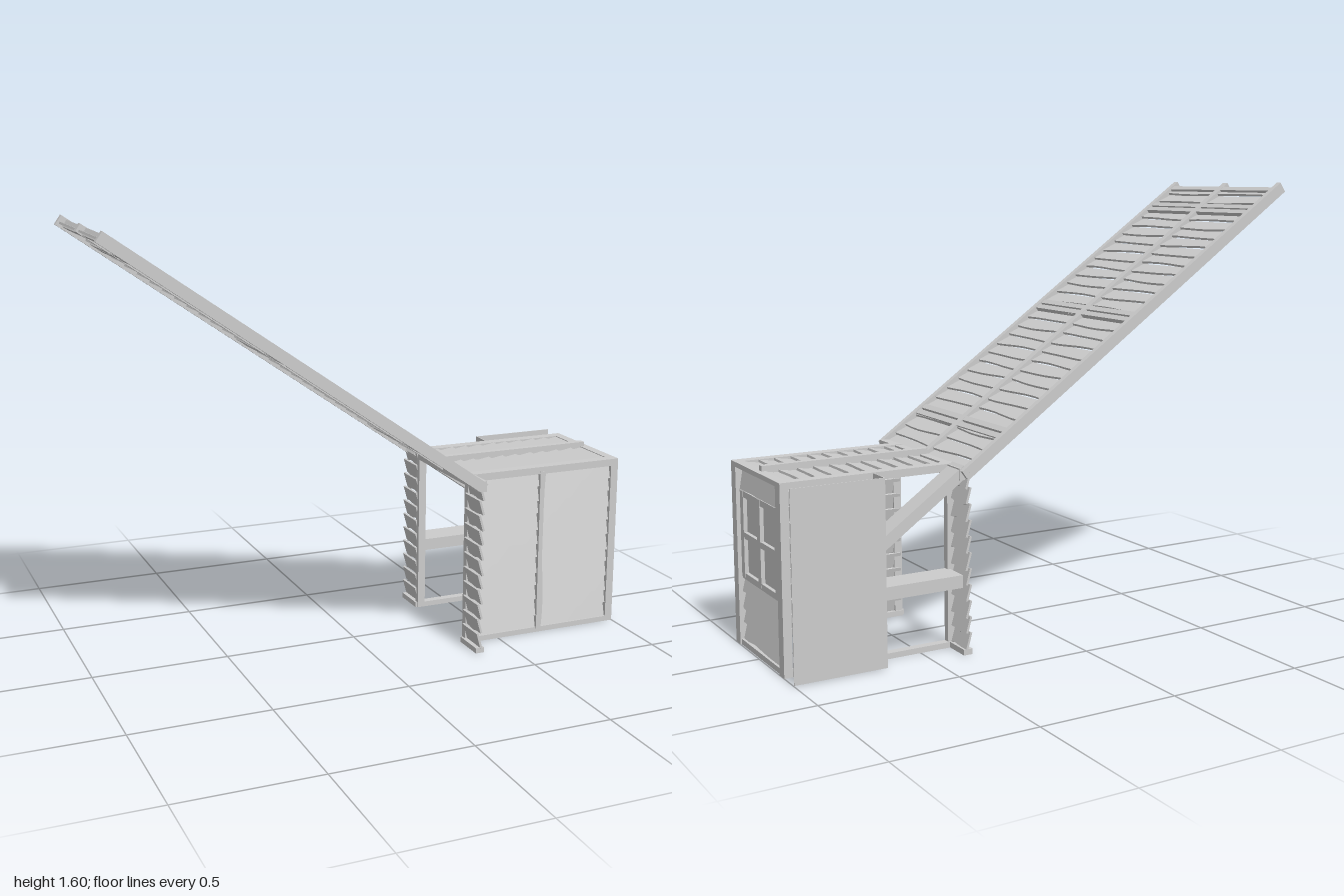
import * as THREE from 'three';

const mat = new THREE.MeshStandardMaterial({ color: 0xcccccc, flatShading: true, side: THREE.DoubleSide });

function box(parent, name, [x0, x1], [y0, y1], [z0, z1]) {
  const m = new THREE.Mesh(new THREE.BoxGeometry(x1 - x0, y1 - y0, z1 - z0), mat);
  m.position.set((x0 + x1) / 2, (y0 + y1) / 2, (z0 + z1) / 2);
  m.name = name;
  parent.add(m);
  return m;
}

// One rough-cut board along x, its long edges bent by a slow wave
function board(len, h, t, seed, wave) {
  const g = new THREE.BoxGeometry(len, h, t, 10, 1, 1);
  const p = g.attributes.position;
  for (let i = 0; i < p.count; i++) {
    const u = p.getX(i) / len;
    const bend = Math.sin(u * 7 + seed * 2.3) * wave + Math.sin(u * 13 + seed * 5.1) * wave * 0.4;
    if (p.getY(i) < 0) p.setY(i, p.getY(i) + bend);
  }
  g.computeVertexNormals();
  return new THREE.Mesh(g, mat);
}

// Overlapping boards filling w x h in the local XY plane, facing +z
function siding(name, w, h, rows, lap, wave = 0.005) {
  const g = new THREE.Group();
  g.name = name;
  const step = h / rows;
  for (let i = 0; i < rows; i++) {
    const b = board(w, step * 1.08, 0.008, i + 1, wave);
    b.position.y = -h / 2 + step * (i + 0.5);
    b.rotation.x = -Math.atan2(lap, step);
    b.name = 'board';
    g.add(b);
  }
  return g;
}

// Place a group using its local up direction and facing direction
function orient(g, up, face, pos) {
  const y = new THREE.Vector3(...up).normalize();
  const z = new THREE.Vector3(...face).normalize();
  const x = new THREE.Vector3().crossVectors(y, z);
  g.quaternion.setFromRotationMatrix(new THREE.Matrix4().makeBasis(x, y, z));
  g.position.set(...pos);
  return g;
}

function buildHut() {
  const hut = new THREE.Group();
  hut.name = 'hut';

  // Corner posts and rails
  for (const z of [[0.18, 0.22], [-0.225, -0.185]]) {
    box(hut, 'cornerPost', [0.97, 1], [0, 0.65], z);
    box(hut, 'topRail', [0.36, 1], [0.625, 0.652], z);
  }
  box(hut, 'frontSill', [0.36, 1], [0, 0.02], [0.19, 0.22]);
  box(hut, 'backSill', [0.36, 1], [0, 0.02], [-0.225, -0.195]);
  box(hut, 'endSill', [0.965, 0.995], [0, 0.02], [-0.2, 0.2]);
  box(hut, 'endTopRail', [0.965, 1], [0.635, 0.652], [-0.2, 0.2]);

  // Front wall with a slightly crooked middle post
  hut.add(orient(siding('frontWall', 0.62, 0.62, 11, 0.014), [0, 1, 0], [0, 0, 1], [0.675, 0.325, 0.203]));
  const mid = board(0.62, 0.02, 0.02, 3, 0.004);
  mid.name = 'frontMiddlePost';
  mid.rotation.z = Math.PI / 2;
  mid.position.set(0.672, 0.325, 0.212);
  hut.add(mid);

  // End wall: boards above and below the window
  hut.add(orient(siding('endWallLower', 0.37, 0.23, 4, 0.014), [0, 1, 0], [1, 0, 0], [0.975, 0.135, 0]));
  hut.add(orient(siding('endWallUpper', 0.37, 0.08, 1, 0.014), [0, 1, 0], [1, 0, 0], [0.975, 0.595, 0]));
  for (const s of [-1, 1]) box(hut, 'endWallSide', [0.967, 0.977], [0.24, 0.57], [s * 0.175 - 0.015, s * 0.175 + 0.015]);

  // Window with four panes
  const win = new THREE.Group();
  win.name = 'window';
  hut.add(win);
  for (const z of [-0.155, 0, 0.155]) box(win, 'windowUpright', [0.965, 0.99], [0.25, 0.555], [z - 0.014, z + 0.014]);
  for (const y of [0.255, 0.4, 0.545]) box(win, 'windowBar', [0.966, 0.989], [y - 0.011, y + 0.011], [-0.165, 0.165]);
  box(win, 'windowPane', [0.972, 0.976], [0.26, 0.54], [-0.15, 0.15]);

  // Flat roof: frame, boards and centre strip
  hut.add(orient(siding('roofBoards', 0.38, 0.6, 10, 0.01, 0.003), [-1, 0, 0], [0, 1, 0], [0.675, 0.642, 0]));
  box(hut, 'roofCentreStrip', [0.36, 0.98], [0.645, 0.67], [-0.02, 0.005]);
  return hut;
}

// Doorway end: narrow boarded strips either side of the opening
function buildDoorway() {
  const door = new THREE.Group();
  door.name = 'doorway';
  for (const s of [-1, 1]) {
    const span = (a, b) => (s > 0 ? [a, b] : [-b, -a]);
    door.add(orient(siding('doorwayBoards', 0.115, 0.62, 11, 0.016, 0.003), [0, 1, 0], [1, 0, 0], [0.365, 0.33, s * 0.268]));
    box(door, 'doorwayPost', [0.36, 0.39], [0, 0.64], span(0.195, 0.22));
    box(door, 'doorwayFoot', [0.352, 0.385], [0, 0.02], span(0.2, 0.325));
  }
  box(door, 'doorwayLintel', [0.36, 0.39], [0.61, 0.65], [-0.31, 0.31]);
  return door;
}

// Back: thin open screen, sloping brace and bench
function buildBack() {
  const back = new THREE.Group();
  back.name = 'back';
  box(back, 'screen', [0.67, 1], [0.003, 0.65], [-0.31, -0.307]);
  box(back, 'screenReturn', [0.667, 0.67], [0.003, 0.65], [-0.31, -0.225]);
  box(back, 'bench', [0.38, 0.67], [0.235, 0.28], [-0.31, -0.2]);
  const brace = box(back, 'slopingBrace', [-0.195, 0.195], [-0.02, 0.02], [-0.305, -0.225]);
  brace.position.set(0.52, 0.53, -0.265);
  brace.rotation.z = -Math.atan2(0.955, 1.363);
  return back;
}

// Long sloping roof; local y runs up the slope, local z is the upper face
function buildLongRoof() {
  const roof = new THREE.Group();
  roof.name = 'longRoof';
  const L = 1.66, slope = 0.819;
  roof.add(siding('longRoofBoards', 0.62, L - 0.02, 30, 0.012, 0.005));
  for (const x of [-0.314, 0.314]) box(roof, 'edgeRail', [x - 0.011, x + 0.011], [-L / 2, L / 2], [-0.02, 0.02]);
  box(roof, 'centreRail', [-0.014, 0.014], [-L / 2, L / 2], [-0.014, 0.017]);
  for (const x of [-0.967, -0.85, -0.32, 0.21]) {
    const y = -(x + 0.3035) / slope;
    for (const d of [-0.015, 0.015]) {
      if (x < -0.9 && d > 0) continue;
      box(roof, 'crossBatten', [-0.305, 0.305], [y + d - 0.011, y + d + 0.011], [-0.012, 0.016]);
    }
  }
  return orient(roof, [-1.363, 0.955, 0], [0.955, 1.363, 0], [-0.3035, 1.1025, 0]);
}

export function createModel() {
  const model = new THREE.Group();
  model.name = 'hutWithLongRoof';
  model.add(buildHut(), buildDoorway(), buildBack(), buildLongRoof());
  return model;
}
